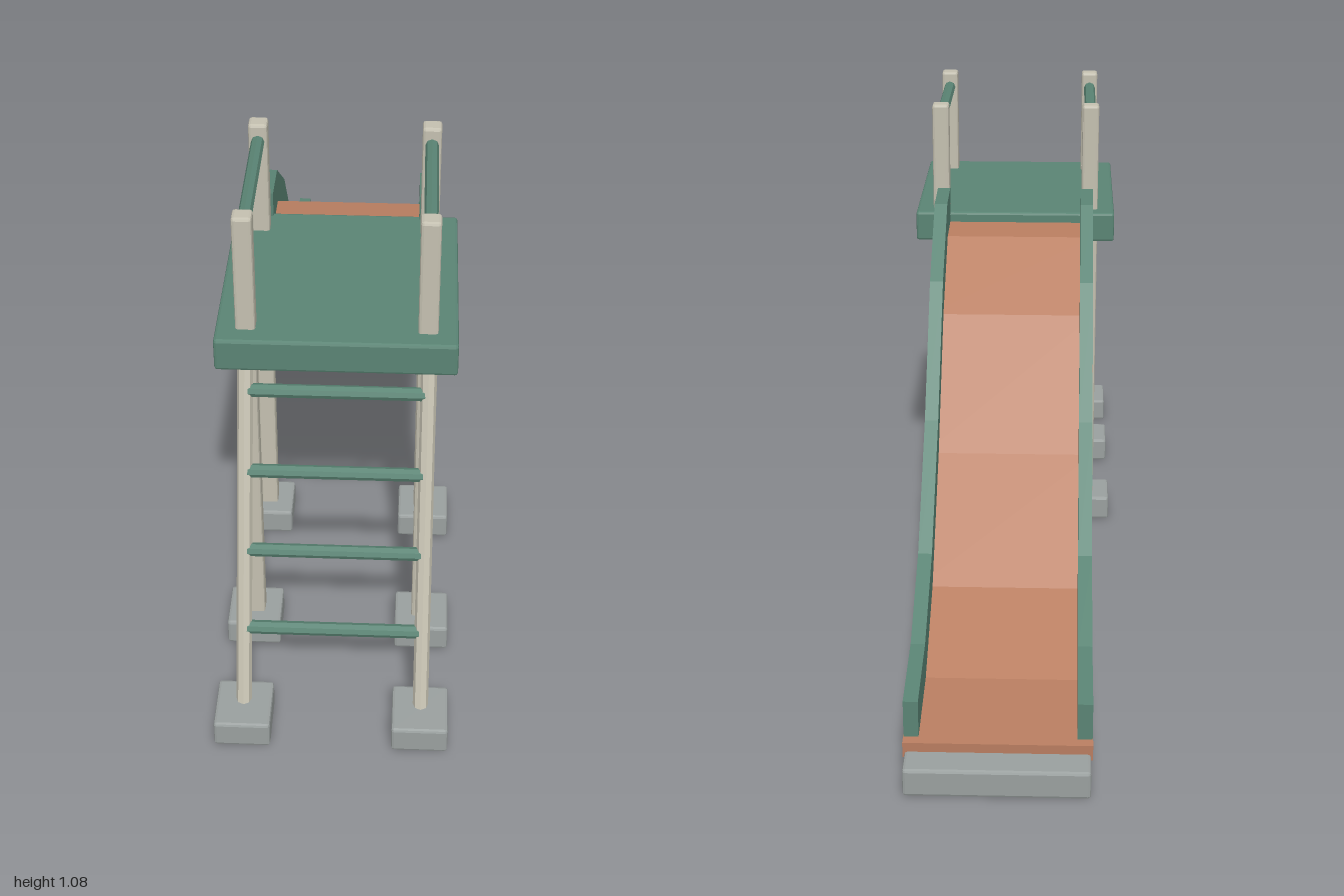
import * as THREE from 'three';
import { RoundedBoxGeometry } from 'three/addons/geometries/RoundedBoxGeometry.js';

const material = (color) => new THREE.MeshStandardMaterial({ color, flatShading: true });

export function createModel() {
  const model = new THREE.Group();
  model.name = 'playgroundSlide';
  const green = material(0x5a8474);
  const timber = material(0xc4c0b0);
  const concrete = material(0x9aa09f);
  const orange = material(0xb87d60);

  const add = (name, geometry, mat) => {
    const mesh = new THREE.Mesh(geometry, mat);
    mesh.name = name;
    model.add(mesh);
    return mesh;
  };

  // Box with chamfered edges
  const block = (name, mat, w, h, d, x, y, z) =>
    add(name, new RoundedBoxGeometry(w, h, d, 1, 0.006), mat).position.set(x, y, z);

  // Octagonal bar between two points
  const bar = (name, mat, radius, from, to) => {
    const a = new THREE.Vector3(...from), b = new THREE.Vector3(...to);
    const dir = b.clone().sub(a);
    const mesh = add(name, new THREE.CylinderGeometry(radius, radius, dir.length(), 8), mat);
    mesh.position.copy(a).add(b).multiplyScalar(0.5);
    mesh.quaternion.setFromUnitVectors(new THREE.Vector3(0, 1, 0), dir.normalize());
  };

  // Side profile of [z, y] points, extruded across x
  const sideExtrude = (name, mat, points, width, x) => {
    const shape = new THREE.Shape(points.map(([z, y]) => new THREE.Vector2(z, y)));
    const geometry = new THREE.ExtrudeGeometry(shape, { depth: width, bevelEnabled: false });
    geometry.translate(0, 0, -width / 2).rotateY(-Math.PI / 2);
    add(name, geometry, mat).position.x = x;
  };

  // Platform
  block('platform', green, 0.482, 0.072, 0.48, 0, 0.787, 0.47);

  const postZ = [0.65, 0.285];
  for (const side of [-1, 1]) {
    // Posts with footings
    for (const z of postZ) {
      block('post', timber, 0.04, 1.04, 0.04, side * 0.181, 0.56, z);
      block('postFooting', concrete, 0.116, 0.06, 0.116, side * 0.183, 0.03, z);
    }
    // Handrail between the posts
    bar('handrail', green, 0.014, [side * 0.181, 1.042, postZ[1]], [side * 0.181, 1.042, postZ[0]]);
    // Ladder rail with footing
    bar('ladderRail', timber, 0.016, [side * 0.184, 0.035, 0.935], [side * 0.184, 0.775, 0.65]);
    block('ladderFooting', concrete, 0.116, 0.06, 0.125, side * 0.183, 0.03, 0.9375);
  }

  // Ladder rungs, following the slope of the rails
  for (let i = 0; i < 4; i++) {
    const y = 0.21 + i * 0.1585, z = 0.868 - i * 0.061;
    bar('rung', green, 0.014, [-0.184, y, z], [0.184, y, z]);
  }

  // Slide: deck underside, deck top and wall top are offsets of one path
  const path = [[0.245, 0.767], [0.132, 0.76], [-0.05, 0.628], [-0.265, 0.372],
    [-0.505, 0.162], [-0.722, 0.066], [-0.935, 0.047]];
  const band = (pts, low, high) => [
    ...pts.map(([z, y]) => [z, y + low]),
    ...pts.map(([z, y]) => [z, y + high]).reverse(),
  ];
  sideExtrude('slideDeck', orange, band(path, 0, 0.033), 0.378, 0);
  const wallPath = [...path.slice(0, -1), [-0.915, 0.049]];
  for (const side of [-1, 1]) {
    sideExtrude('slideWall', green, band(wallPath, 0.03, 0.113), 0.03, side * 0.173);
  }

  // Landing pad under the slide's end
  block('landingPad', concrete, 0.37, 0.06, 0.24, 0, 0.03, -0.88);

  return model;
}
